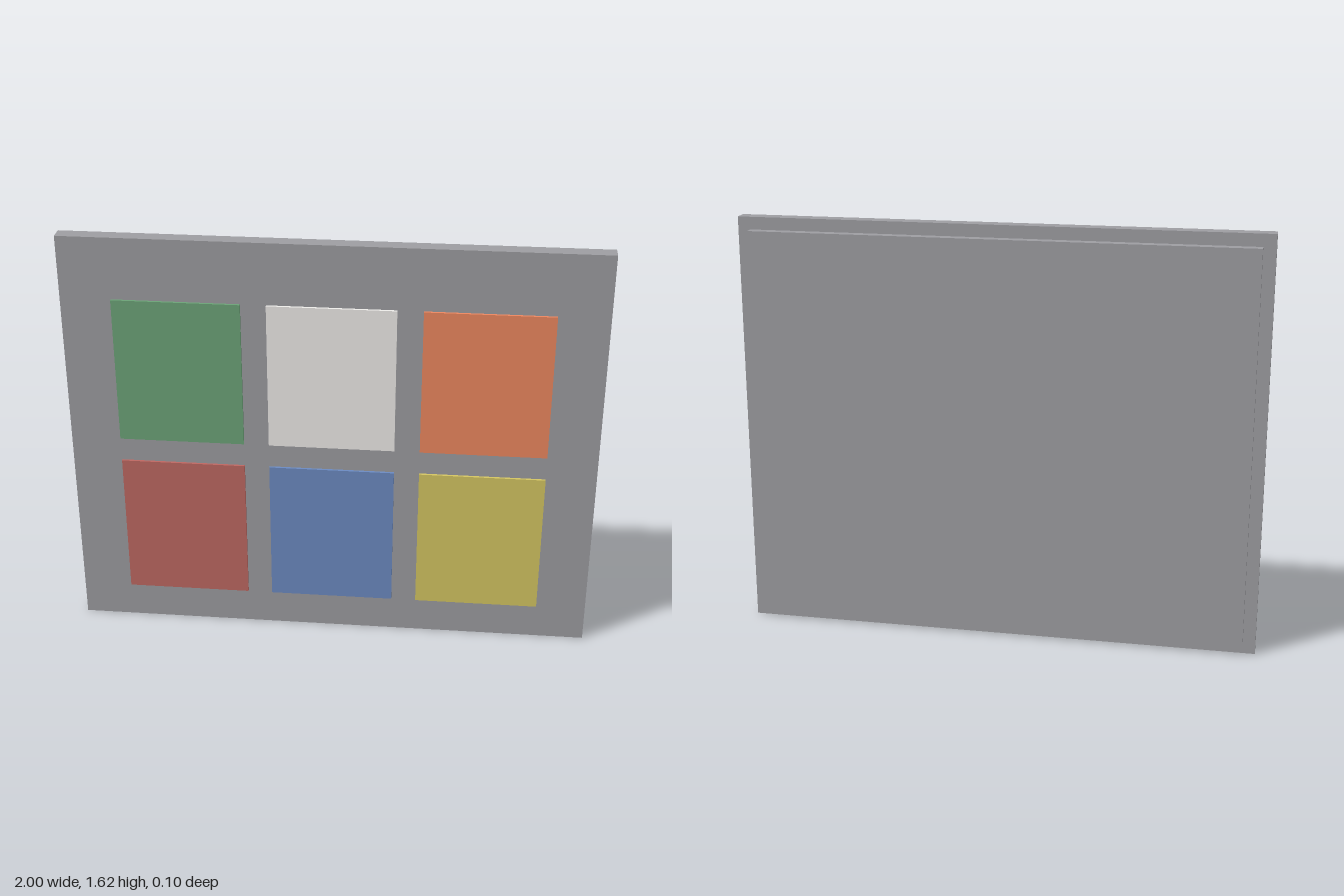
import * as THREE from 'three';

// One module of the layout grid; the panel is 21 modules wide and 17 high
const U = 2 / 21;

export function createModel() {
  const group = new THREE.Group();

  // Box given by its centre x, bottom y and back z, all in modules
  const addBox = (name, [w, h, d], [x, y, z], color) => {
    const mesh = new THREE.Mesh(
      new THREE.BoxGeometry(w * U, h * U, d * U),
      new THREE.MeshStandardMaterial({ color })
    );
    mesh.position.set(x * U, (y + h / 2) * U, (z + d / 2) * U);
    mesh.name = name;
    group.add(mesh);
  };

  // Front panel and the slightly smaller backing behind it
  addBox('panel', [21, 17, 0.6], [0, 0, -0.15], 0x9e9ea2);
  addBox('backing', [20, 16, 0.4], [0, 0.5, -0.55], 0x9e9ea2);

  // Two rows of three coloured tiles, bottom row first
  const rows = [
    [['redTile', 0xbe6862], ['blueTile', 0x6c8bc3], ['yellowTile', 0xd5c662]],
    [['greenTile', 0x6ca478], ['whiteTile', 0xefedea], ['orangeTile', 0xee8860]],
  ];
  rows.forEach((row, r) =>
    row.forEach(([name, color], c) =>
      addBox(name, [5, 6, 0.1], [(c - 1) * 6, 1.5 + r * 7, 0.45], color)
    )
  );

  return group;
}
